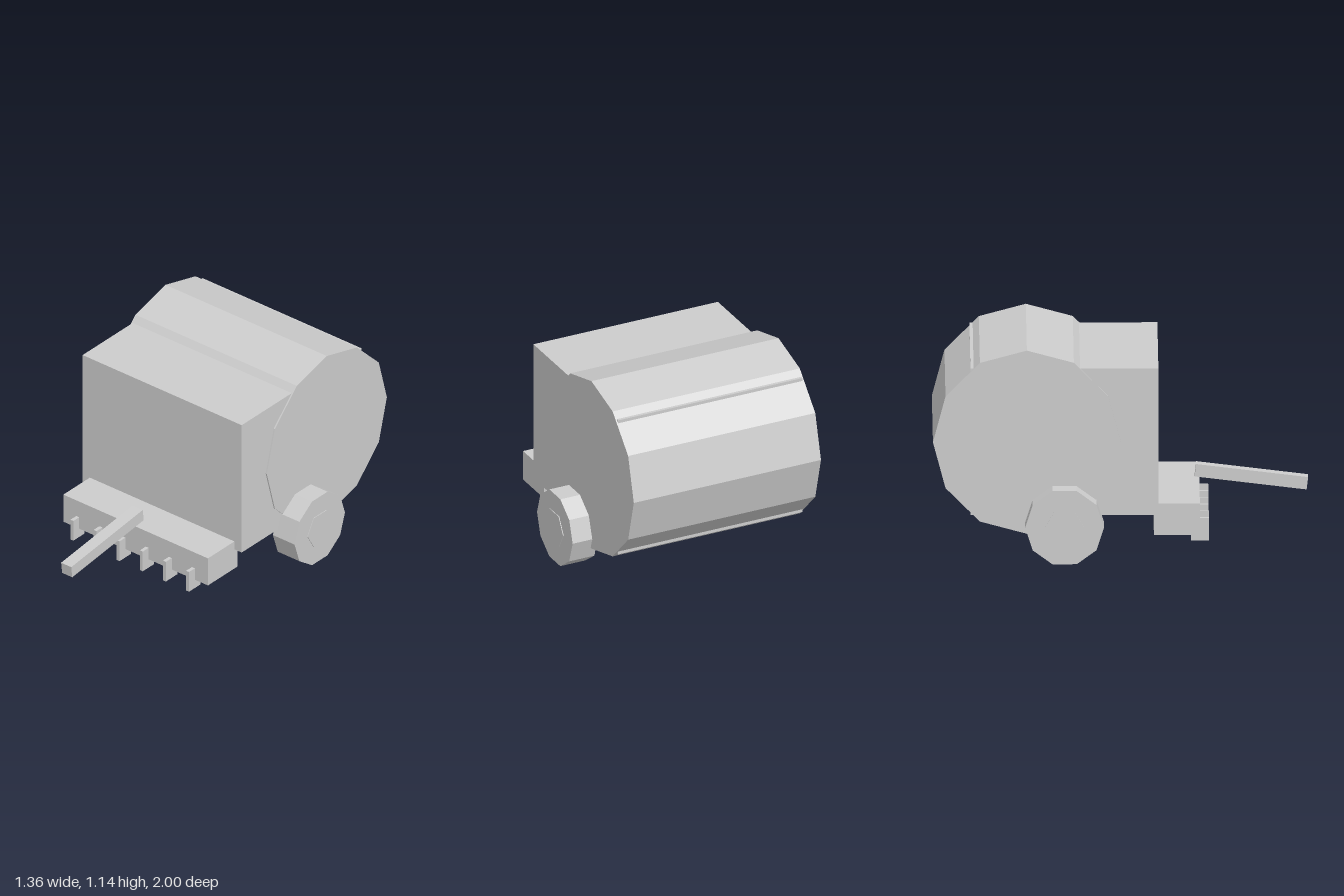
import * as THREE from 'three';

export function createModel() {
  const model = new THREE.Group();
  model.name = 'roundBaler';
  const grey = new THREE.MeshStandardMaterial({ color: 0xcccccc, flatShading: true });
  grey.name = 'light grey';

  function add(name, geometry, x, y, z) {
    const mesh = new THREE.Mesh(geometry, grey);
    mesh.name = name;
    mesh.position.set(x, y, z);
    model.add(mesh);
    return mesh;
  }
  const box = (name, w, h, d, x, y, z) => add(name, new THREE.BoxGeometry(w, h, d), x, y, z);

  // faceted cylinder lying along x, with a corner pointing forwards
  const roller = (name, radius, width, sides, x, y, z) =>
    add(name, new THREE.CylinderGeometry(radius, radius, width, sides).rotateZ(Math.PI / 2), x, y, z);

  // bale chamber: front housing and round drum
  box('housing', 1.1, 0.8, 1.0, 0, 0.64, -0.3);
  roller('drum', 0.5, 1.116, 12, 0, 0.64, -0.5);

  // pickup with its row of tines
  box('pickup', 1.0, 0.17, 0.245, 0, 0.205, 0.2985);
  for (let i = 0; i < 6; i++) {
    box('tine', 0.02, 0.124, 0.095, -0.4 + i * 0.16, 0.13, 0.4225);
  }

  // sloping drawbar
  box('drawbar', 0.07, 0.068, 0.6, 0, 0.33, 0.6975).rotation.x = 0.12;

  // wheels with thin hubs
  for (const side of [-1, 1]) {
    roller('wheel', 0.21, 0.15, 10, side * 0.6, 0.2, -0.3);
    roller('hub', 0.105, 0.158, 6, side * 0.6, 0.2, -0.3);
  }
  return model;
}
